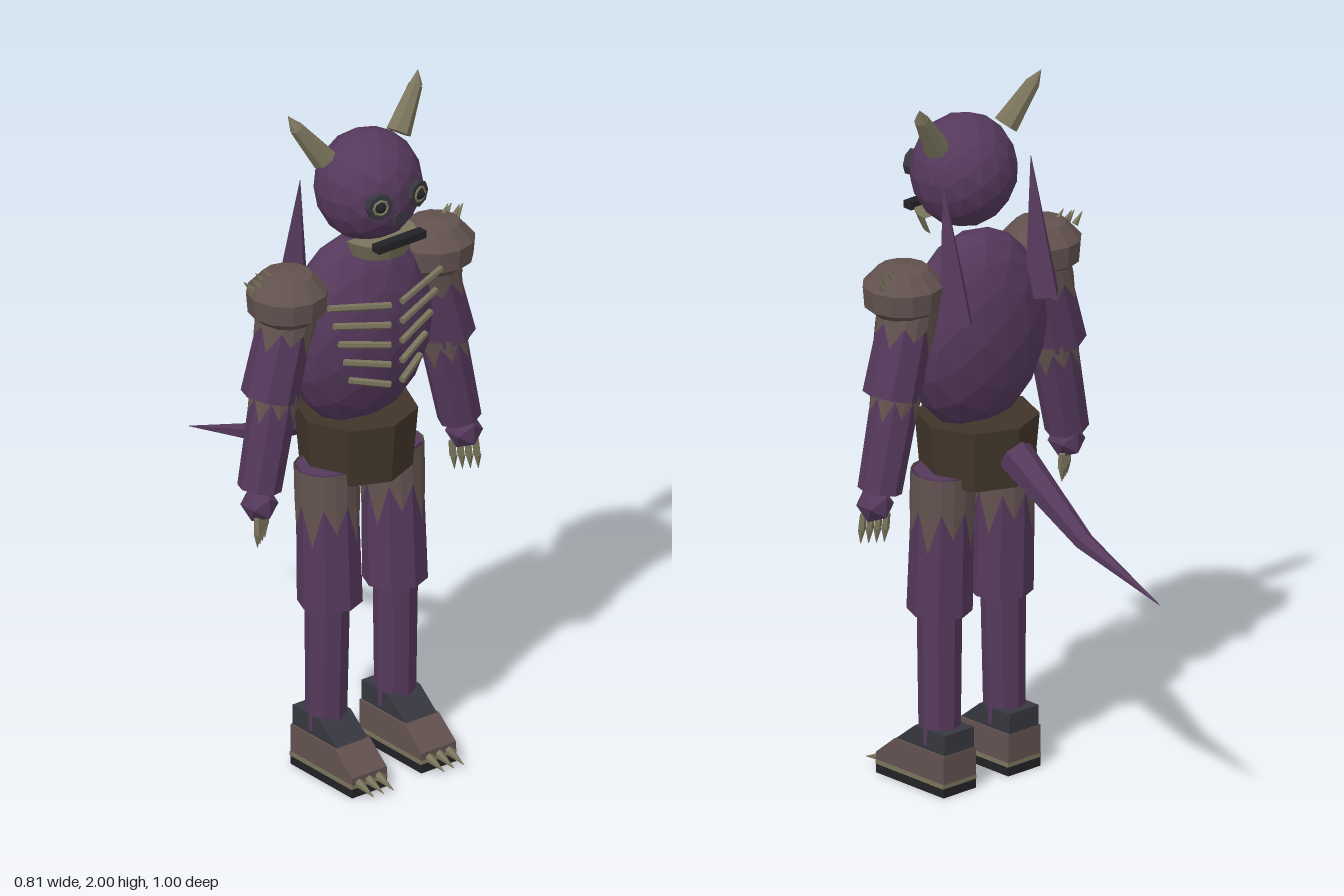
import * as THREE from 'three';

const mat = (name, color, side = THREE.FrontSide) => {
  const m = new THREE.MeshStandardMaterial({ color, flatShading: true, side });
  m.name = name;
  return m;
};
const V = (x, y, z) => new THREE.Vector3(x, y, z);
const UP = V(0, 1, 0);

export function createModel() {
  const root = new THREE.Group();
  root.name = 'hornedFigure';
  const skin = mat('purpleHide', 0x55395c);
  const armour = mat('brownArmour', 0x62524f);
  const cloth = mat('tornCloth', 0x62524f, THREE.DoubleSide);
  const belt = mat('beltLeather', 0x41352a);
  const bone = mat('bone', 0x7a745c);
  const dark = mat('darkGrey', 0x37373f);
  const black = mat('blackSole', 0x222226);

  const add = (name, geo, m, pos) => {
    const mesh = new THREE.Mesh(geo, m);
    mesh.name = name;
    if (pos) mesh.position.copy(pos);
    root.add(mesh);
    return mesh;
  };
  // tapered prism running from point a to point b
  const limb = (name, a, b, ra, rb, m, sides = 8) => {
    const mesh = add(name, new THREE.CylinderGeometry(rb, ra, a.distanceTo(b), sides), m);
    mesh.position.addVectors(a, b).multiplyScalar(0.5);
    mesh.quaternion.setFromUnitVectors(UP, b.clone().sub(a).normalize());
    return mesh;
  };
  // thin sleeve with a jagged lower edge, hanging from 'top' towards 'bottom'
  const rag = (name, bottom, top, r, short, long) => {
    const geo = new THREE.CylinderGeometry(r, r, 1, 16, 1, true);
    const p = geo.attributes.position;
    for (let i = 0; i < p.count; i++) {
      const len = i % 2 ? short : i % 4 ? long : long * 0.8;
      p.setY(i, p.getY(i) > 0 ? 0 : -len);
    }
    const mesh = add(name, geo, cloth, top);
    mesh.quaternion.setFromUnitVectors(UP, top.clone().sub(bottom).normalize());
  };
  const ball = (name, r, detail, scale, pos, m) => {
    const geo = new THREE.IcosahedronGeometry(r, detail);
    geo.scale(...scale);
    return add(name, geo, m, pos);
  };

  // head, torso and belt
  ball('head', 0.155, 2, [0.98, 1.03, 0.93], V(0, 1.752, 0.278), skin);
  ball('torso', 1, 2, [0.236, 0.285, 0.137], V(0, 1.305, 0.233), skin);
  add('belt', new THREE.CylinderGeometry(0.17, 0.155, 0.175, 8), belt, V(0, 0.973, 0.225));

  // nose, mouth and jaw
  const nose = add('nose', new THREE.CylinderGeometry(0.022, 0.022, 0.02, 6), dark, V(0, 1.7, 0.41));
  nose.rotation.x = Math.PI / 2;
  add('mouth', new THREE.BoxGeometry(0.165, 0.022, 0.03), black, V(0, 1.63, 0.413));
  const jaw = new THREE.CylinderGeometry(0.107, 0.085, 0.05, 10, 1, false, -Math.PI / 2, Math.PI);
  add('jaw', jaw, bone, V(0, 1.6, 0.318));

  // tail: two tapered sections
  const bend = V(0, 0.805, -0.2);
  limb('tailBase', V(0, 0.98, 0.075), bend, 0.052, 0.027, skin, 6);
  limb('tailTip', bend, V(0, 0.705, -0.5), 0.027, 0.001, skin, 6);

  // shoe slab: side profile in (z, y) extruded across the foot
  const slab = (name, pts, width, x, m) => {
    const shape = new THREE.Shape(pts.map(([z, y]) => new THREE.Vector2(z, y)));
    const geo = new THREE.ExtrudeGeometry(shape, { depth: width, bevelEnabled: false });
    geo.rotateY(-Math.PI / 2);
    geo.translate(x + width / 2, 0, 0);
    add(name, geo, m);
  };

  for (const [s, side] of [[1, 'left'], [-1, 'right']]) {
    const n = (part) => side + part;
    const P = (x, y, z) => V(s * x, y, z);

    // horn in two sections
    limb(n('HornBase'), P(0.128, 1.855, 0.248), P(0.207, 1.965, 0.224), 0.036, 0.02, bone, 7);
    limb(n('HornTip'), P(0.207, 1.965, 0.224), P(0.225, 2, 0.212), 0.02, 0.001, bone, 7);

    // eye: socket, bony ring and pupil
    const eye = new THREE.Group();
    eye.name = n('Eye');
    eye.position.copy(P(0.064, 1.753, 0.403));
    eye.rotation.y = s * 0.25;
    const socket = new THREE.Mesh(new THREE.CylinderGeometry(0.038, 0.038, 0.03, 8), dark);
    socket.name = n('EyeSocket');
    socket.rotation.x = Math.PI / 2;
    const ring = new THREE.Mesh(new THREE.TorusGeometry(0.021, 0.004, 4, 8), bone);
    ring.name = n('EyeRing');
    ring.position.z = 0.016;
    const pupil = new THREE.Mesh(new THREE.IcosahedronGeometry(0.016, 1), black);
    pupil.name = n('Pupil');
    pupil.position.z = 0.013;
    eye.add(socket, ring, pupil);
    root.add(eye);

    // ribs
    for (let i = 0; i < 5; i++) {
      const y = 1.46 - i * 0.06;
      limb(n('Rib' + (i + 1)), P(0.195 - i * 0.018, y, 0.35), P(0.02, y - 0.025, 0.4), 0.01, 0.01, bone, 6);
    }

    // folded back spike
    limb(n('BackSpike'), P(0.16, 1.385, 0.14), P(0.162, 1.775, 0.185), 0.062, 0.001, skin, 4);

    // shoulder pad with outward spikes
    const prof = [[0, -0.09], [0.065, -0.085], [0.108, -0.05], [0.113, 0.01], [0.07, 0.057], [0, 0.068]];
    add(n('ShoulderPad'), new THREE.LatheGeometry(prof.map(([x, y]) => new THREE.Vector2(x, y)), 12),
      armour, P(0.255, 1.487, 0.245));
    for (let i = 0; i < 4; i++) {
      const x = 0.295 + i * 0.02, y = 1.535 - i * 0.007, z = 0.228 - (i % 2) * 0.01;
      limb(n('ShoulderSpike' + (i + 1)), P(x, y, z), P(x + 0.025, y + 0.032, z - 0.004), 0.01, 0.001, bone, 5);
    }

    // arm
    const shoulder = P(0.235, 1.46, 0.235), elbow = P(0.308, 1.185, 0.235);
    const foreTop = P(0.288, 1.2, 0.235), wrist = P(0.347, 0.92, 0.24);
    limb(n('UpperArm'), elbow, shoulder, 0.08, 0.074, skin);
    rag(n('SleeveRag'), elbow, shoulder, 0.083, 0.08, 0.145);
    limb(n('Forearm'), wrist, foreTop, 0.061, 0.067, skin);
    rag(n('ForearmRag'), wrist, foreTop, 0.069, 0.02, 0.085);
    ball(n('Hand'), 0.054, 0, [0.95, 1, 1], P(0.355, 0.88, 0.25), skin);
    for (let i = 0; i < 4; i++) {
      const x = 0.325 + i * 0.018, z = 0.235 + i * 0.012;
      limb(n('Finger' + (i + 1)), P(x, 0.85, z), P(x + 0.002, 0.805, z + 0.004), 0.01, 0.011, bone, 5);
      limb(n('Claw' + (i + 1)), P(x + 0.002, 0.805, z + 0.004), P(x + 0.004, 0.765, z + 0.006), 0.011, 0.001, bone, 5);
    }

    // leg
    const hip = P(0.113, 0.92, 0.238), knee = P(0.113, 0.51, 0.253);
    limb(n('Thigh'), knee, hip, 0.09, 0.084, skin);
    rag(n('ThighRag'), knee, hip, 0.0895, 0.1, 0.22);
    limb(n('Shin'), P(0.12, 0.13, 0.245), P(0.118, 0.52, 0.248), 0.057, 0.062, skin);

    // boot, from ankle cuff to sole
    const fx = s * 0.12;
    slab(n('BootCuff'), [[0.167, 0.115], [0.365, 0.115], [0.285, 0.178], [0.167, 0.178]], 0.108, fx, dark);
    slab(n('BootUpper'), [[0.165, 0.038], [0.434, 0.038], [0.434, 0.06], [0.36, 0.12], [0.165, 0.12]], 0.12, fx, armour);
    slab(n('BootWelt'), [[0.165, 0.026], [0.434, 0.026], [0.434, 0.038], [0.165, 0.038]], 0.124, fx, bone);
    slab(n('BootSole'), [[0.165, 0], [0.434, 0], [0.434, 0.026], [0.165, 0.026]], 0.12, fx, black);
    for (let i = -1; i <= 1; i++) {
      const x = 0.122 + i * 0.034;
      limb(n('ToeClaw' + (i + 2)), P(x, 0.042, 0.42), P(x, 0.022, 0.498), 0.016, 0.001, bone, 6);
    }
  }
  return root;
}
